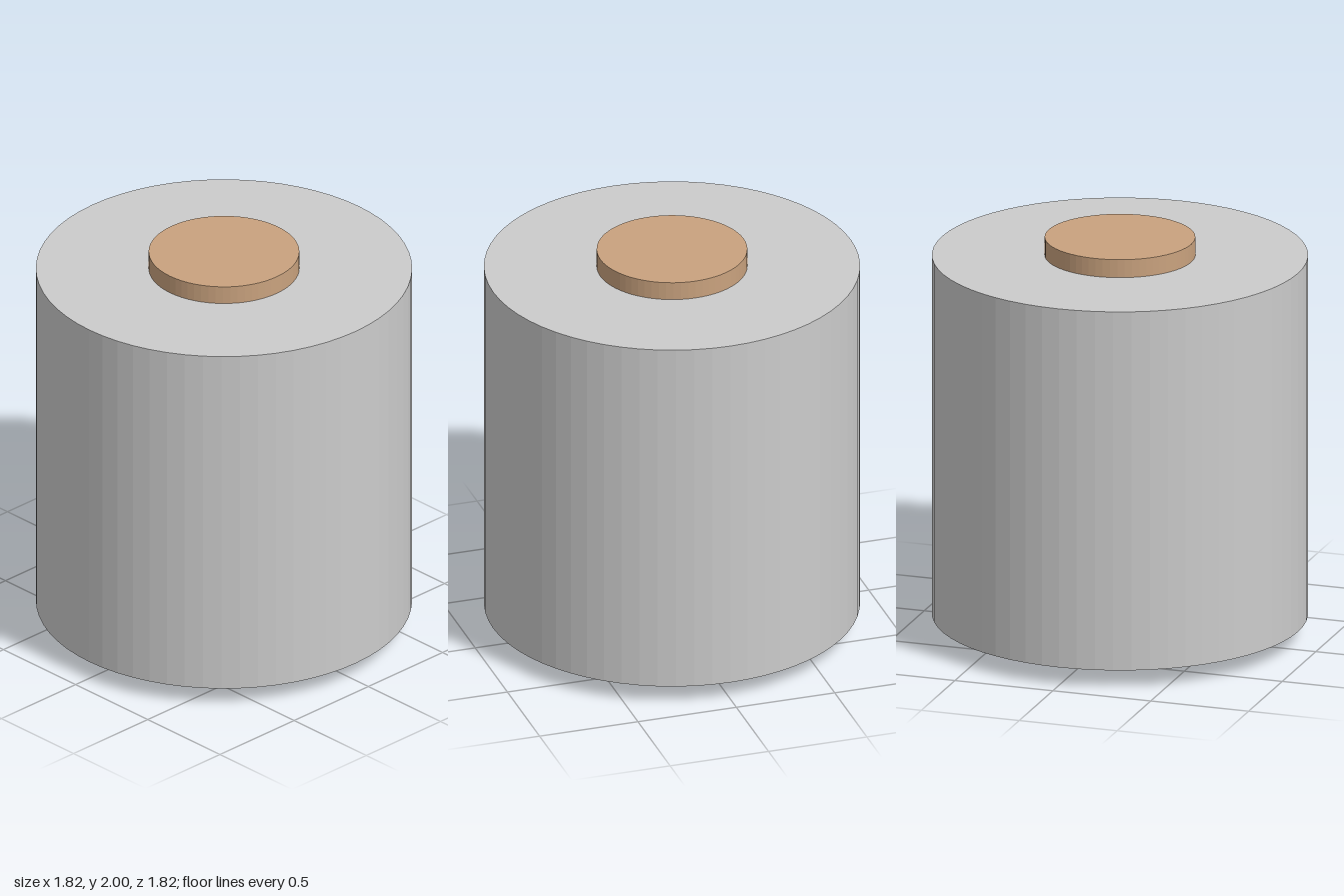
import * as THREE from 'three';

const SIDES = 64;

// Upright faceted cylinder centred at mid height
function cylinder(name, radius, height, color) {
  const mesh = new THREE.Mesh(
    new THREE.CylinderGeometry(radius, radius, height, SIDES),
    new THREE.MeshStandardMaterial({ color, flatShading: true })
  );
  mesh.name = name;
  mesh.position.y = 1;
  return mesh;
}

export function createModel() {
  const model = new THREE.Group();
  model.name = 'roll';

  // Wound material
  model.add(cylinder('wrap', 0.909, 1.818, 0xcccccc));

  // Core tube, sticking out at both ends
  model.add(cylinder('core', 0.364, 2, 0xc9a27e));

  return model;
}
